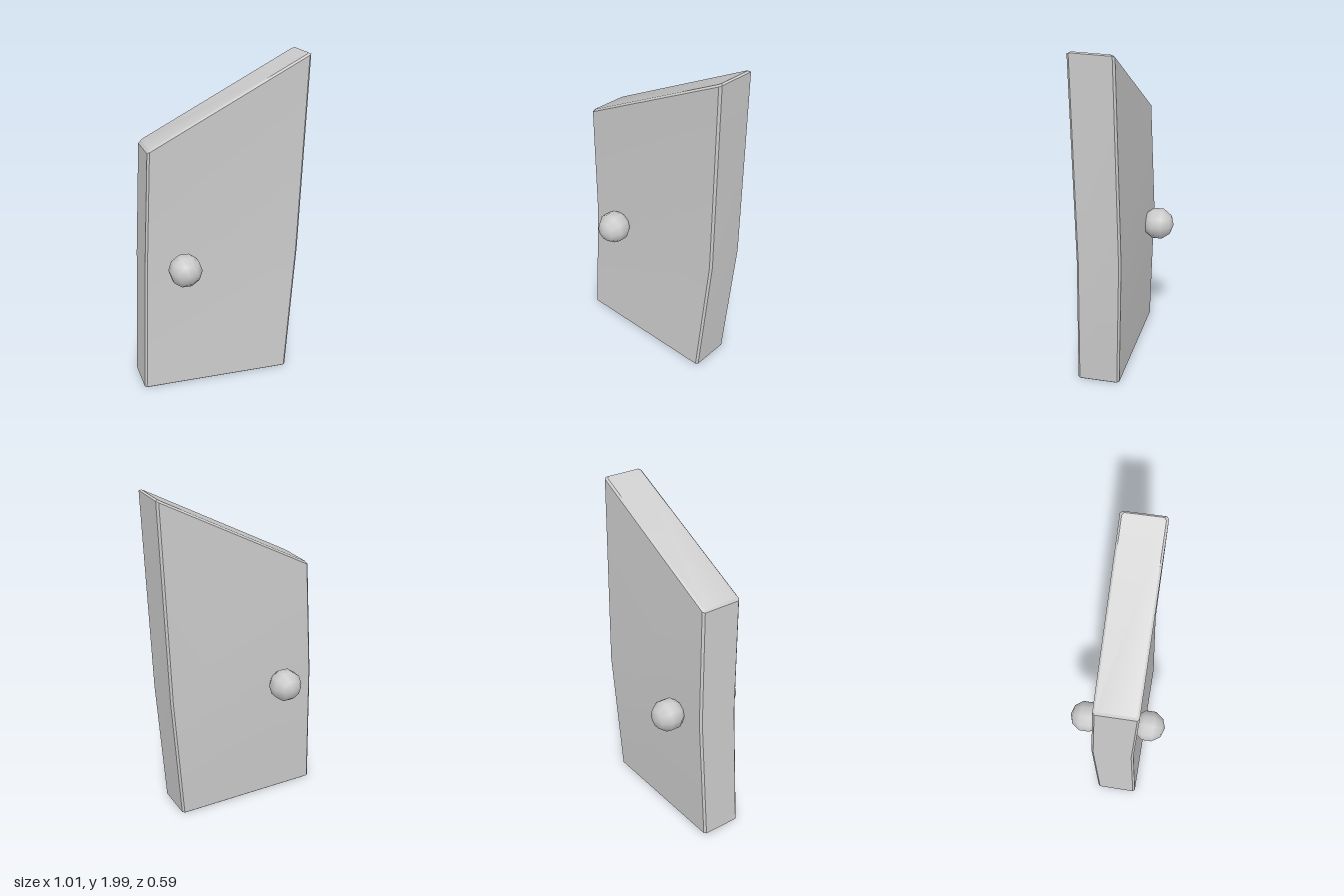
import * as THREE from 'three';
import { toCreasedNormals } from 'three/addons/utils/BufferGeometryUtils.js';

const BEVEL = 0.012;

// Chamfered rectangular section; its height may differ at the left and right ends.
// inset shrinks the section for the bevelled ends of the panel.
function section({ x0, x1, y0, y1, z0, z1, drop = 0 }, inset = 0, lower = 0) {
  const points = [];
  const add = (x, z) => {
    const y = THREE.MathUtils.mapLinear(x, x0, x1, y0, y1);
    const back = (z1 - z) / (z1 - z0);
    points.push(new THREE.Vector3(x, y - lower - drop * back, z));
  };
  const [l, r, b, f] = [x0 + inset, x1 - inset, z0 + inset, z1 - inset];
  const c = BEVEL;
  add(r - c, f); add(r, f - c);
  add(r, b + c); add(r - c, b);
  add(l + c, b); add(l, b + c);
  add(l, f - c); add(l + c, f);
  return points;
}

// Skin a stack of sections and close both ends
function loft(rings) {
  const n = rings[0].length;
  const positions = rings.flat().flatMap((p) => p.toArray());
  const index = [];
  for (let k = 0; k < rings.length - 1; k++) {
    for (let i = 0; i < n; i++) {
      const a = k * n + i, b = k * n + (i + 1) % n;
      index.push(a, b, b + n, a, b + n, a + n);
    }
  }
  const last = (rings.length - 1) * n;
  for (let i = 1; i < n - 1; i++) {
    index.push(0, i + 1, i);
    index.push(last, last + i, last + i + 1);
  }
  const geometry = new THREE.BufferGeometry();
  geometry.setAttribute('position', new THREE.Float32BufferAttribute(positions, 3));
  geometry.setIndex(index);
  return toCreasedNormals(geometry, 0.5);
}

export function createModel() {
  const model = new THREE.Group();
  model.name = 'door';
  const material = new THREE.MeshStandardMaterial({ color: 0xcccccc });

  // Crooked door panel, bowed at knob height with a slanted top
  const bottom = { x0: -0.51, x1: 0.405, y0: 0, y1: 0, z0: -0.1, z1: 0.153 };
  const middle = { x0: -0.478, x1: 0.47, y0: 0.8, y1: 0.8, z0: -0.127, z1: 0.13 };
  const top = { x0: -0.45, x1: 0.503, y0: 1.505, y1: 2, z0: -0.102, z1: 0.153, drop: 0.008 };
  const panel = new THREE.Mesh(loft([
    section(bottom, 0.004),
    section(bottom, 0, -0.004),
    section(middle),
    section(top, 0, BEVEL),
    section(top, BEVEL),
  ]), material);
  panel.name = 'doorPanel';
  model.add(panel);

  // Round knobs on both faces, poles pointing out of the door
  const knobGeometry = new THREE.SphereGeometry(0.1, 10, 5).rotateX(Math.PI / 2);
  for (const [name, z] of [['frontKnob', 0.193], ['backKnob', -0.193]]) {
    const knob = new THREE.Mesh(knobGeometry, material);
    knob.name = name;
    knob.position.set(-0.255, 0.778, z);
    model.add(knob);
  }
  return model;
}
